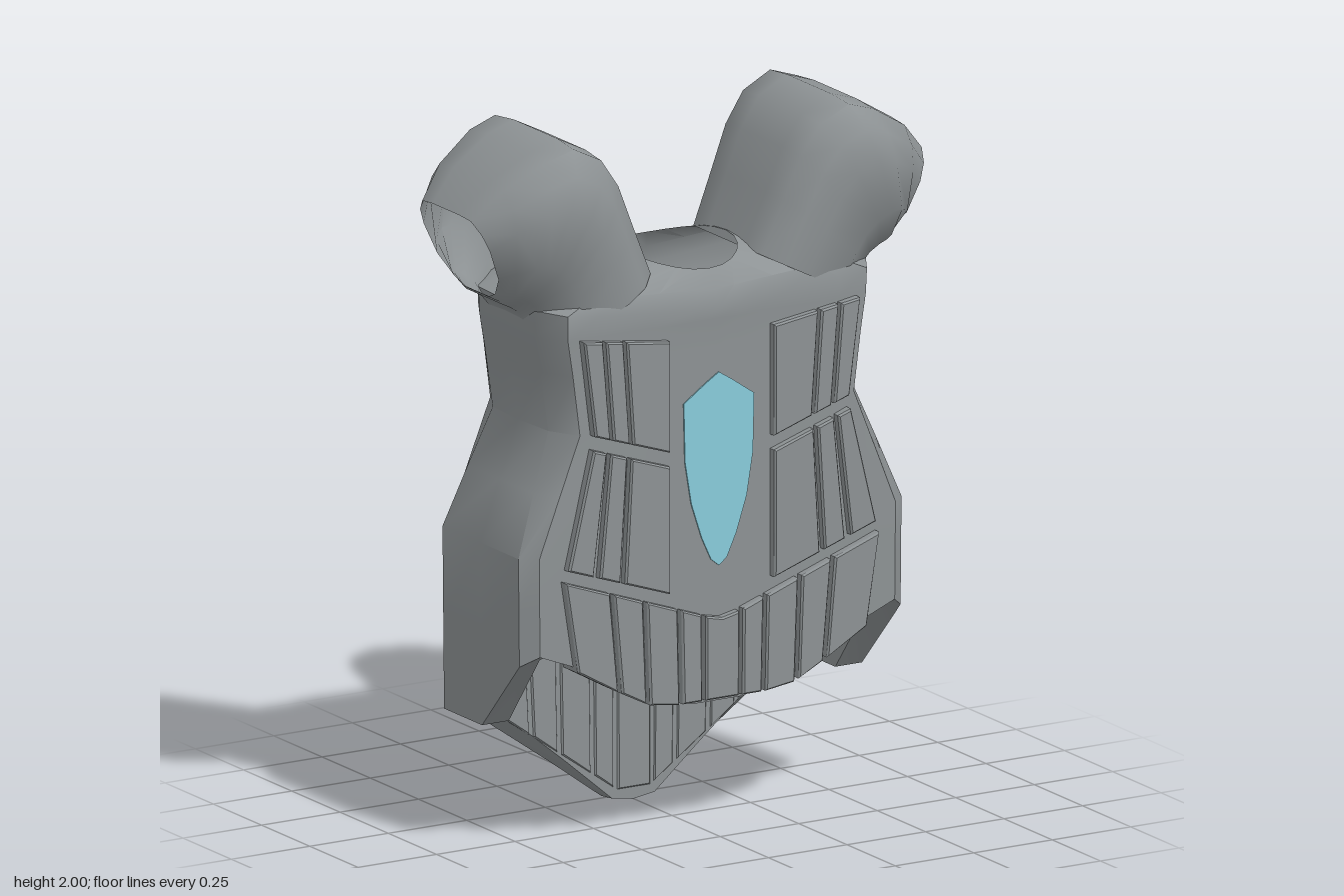
import * as THREE from 'three';
import { toCreasedNormals } from 'three/addons/utils/BufferGeometryUtils.js';

const armour = new THREE.MeshStandardMaterial({ color: 0x8d9294, side: THREE.DoubleSide });
armour.name = 'grey armour';
const gem = new THREE.MeshStandardMaterial({ color: 0x88cbda });
gem.name = 'pale blue';

// Skin a list of closed rings of [x, y, z] points, given bottom to top
function loft(rings, crease) {
  const n = rings[0].length, index = [];
  for (let j = 0; j < rings.length - 1; j++) {
    for (let i = 0; i < n; i++) {
      const k = (i + 1) % n, a = j * n + i, b = j * n + k;
      index.push(a, b, b + n, a, b + n, a + n);
    }
  }
  const g = new THREE.BufferGeometry();
  g.setAttribute('position', new THREE.Float32BufferAttribute(rings.flat(2), 3));
  g.setIndex(index);
  return toCreasedNormals(g, crease);
}

function addMesh(parent, name, geometry, material) {
  const mesh = new THREE.Mesh(geometry, material);
  mesh.name = name;
  parent.add(mesh);
  return mesh;
}

// Half cross-section from front centre round the left flank to back centre:
// [share of half-width, share of half-depth, hem height, both shares above the waist if rounder there]
const COLUMNS = [
  [0, 1, 0.385], [0.13, 1, 0.385], [0.41, 1, 0.43], [0.72, 1, 0.535],
  [0.93, 0.98, 0.585, 0.89, 0.97], [1, 0.82, 0.555, 0.985, 0.6],
  [1, 0, 0.345], [1, -0.82, 0.345, 0.985, -0.6], [0.93, -0.98, 0.335, 0.89, -0.97],
  [0.72, -1, 0.268], [0.41, -1, 0.136], [0.13, -1, 0.012], [0, -1, 0.002],
];

// Turn the half section into a full ring by mirroring
function ring(point) {
  const half = COLUMNS.map((c, i) => point(c, i));
  const other = half.slice(1, -1).reverse().map(([x, y, z]) => [-x, y, z]);
  return [...half, ...other];
}

// Half-width of the torso at a height
const WIDTHS = [[0, 0.605], [0.35, 0.605], [0.86, 0.61], [1.03, 0.55], [1.19, 0.49], [1.36, 0.515], [1.5, 0.54], [2, 0.54]];
function halfWidth(y) {
  const i = Math.max(1, WIDTHS.findIndex(w => w[0] >= y));
  const [y0, a] = WIDTHS[i - 1], [y1, b] = WIDTHS[i];
  return a + (b - a) * (y - y0) / (y1 - y0);
}

function torsoGeometry() {
  const levels = [0, 0.5, 0.86, 1.03, 1.19, 1.36, 1.46];
  const wall = (level, thinX, depth) => ring(([fx, fz, hem, ux = fx, uz = fz]) => {
    const y = level === 0 ? hem : level === 0.5 ? (hem + 0.86) / 2 : level;
    const t = THREE.MathUtils.clamp((y - 0.86) / 0.33, 0, 1);
    const x = fx + (ux - fx) * t, z = fz + (uz - fz) * t;
    return [x * (halfWidth(y) - thinX), y, z * depth];
  });
  const inner = levels.map(l => wall(l, 0.085, 0.2)).reverse();
  const outer = levels.map(l => wall(l, 0, 0.24));
  // yoke closing in to the neck opening
  const yoke = [[1.485, 0.05, 0.535, 0.243], [1.54, 0.03, 0.44, 0.228]].map(([y, rise, w, d]) =>
    ring(([fx, fz, , ux = fx, uz = fz]) => [ux * w, y + rise * fx, uz * d]));
  const neck = ring((c, i) => {
    const a = Math.PI / 2 - i * Math.PI / 12, s = Math.cos(a);
    return [0.175 * s, 1.59 + 0.035 * s * s, 0.2 * Math.sin(a) - 0.008];
  });
  return loft([...inner, ...outer, ...yoke, neck], 0.6);
}

// Shoulder sleeve: sections fanned around the armpit
// [inner x, inner y, outer x, outer y, half-depth]
const SLEEVE = [
  [0.17, 1.60, 0.50, 1.43, 0.242],
  [0.235, 1.75, 0.53, 1.50, 0.256],
  [0.285, 1.87, 0.55, 1.525, 0.266],
  [0.345, 1.955, 0.575, 1.54, 0.275],
  [0.435, 2.00, 0.595, 1.55, 0.28],
  [0.52, 1.972, 0.605, 1.56, 0.272],
  [0.64, 1.90, 0.615, 1.565, 0.225],
  [0.72, 1.815, 0.62, 1.57, 0.172],
];
// [share from inner to outer, share of half-depth]
const SECTION = [[0, 0], [0, 0.4], [0.02, 0.73], [0.16, 0.93], [0.35, 1], [0.7, 0.92], [0.93, 0.6], [1, 0.35], [1, 0]];
function sleeveGeometry(side) {
  const loop = [...SECTION, ...SECTION.slice(1, -1).reverse().map(([u, v]) => [u, -v])];
  const rings = SLEEVE.map(([ix, iy, ox, oy, d]) => {
    const r = loop.map(([u, v]) => [side * (ix + (ox - ix) * u), iy + (oy - iy) * u, v * d]);
    return side < 0 ? r.reverse() : r;
  });
  return loft(rings, 0.9);
}

// Bevelled four-cornered plate set through the torso wall
function plateGeometry(corners, depth) {
  const shape = new THREE.Shape(corners.map(([x, y]) => new THREE.Vector2(x, y)));
  return new THREE.ExtrudeGeometry(shape, {
    depth, bevelEnabled: true, bevelThickness: 0.006, bevelSize: 0.005, bevelOffset: -0.005, bevelSegments: 1,
  });
}

// Rows of plates: top and bottom edge heights by x, and columns as
// [inner top x, outer top x, inner bottom x, outer bottom x]
const chestTop = x => 1.40 + 0.135 * x, chestLow = x => 1.055 + 0.33 * x;
const ribTop = x => 1.015 + 0.33 * x, ribLow = x => 0.655 + 0.34 * x;
const bellyTop = x => 0.615 + 0.35 * x;
const frontHem = x => 0.395 + 0.6 * Math.max(0, x - 0.2) ** 1.1;
const backHem = x => 0.04 + 0.7 * Math.max(0, x - 0.06);
const BELLY = [[0.066, 0.13, 0.064, 0.125], [0.143, 0.24, 0.137, 0.23], [0.253, 0.345, 0.243, 0.32], [0.358, 0.5, 0.333, 0.46]];
const ROWS = {
  front: [
    [chestTop, chestLow, [[0.165, 0.305, 0.165, 0.285], [0.315, 0.37, 0.295, 0.347], [0.38, 0.44, 0.357, 0.405]]],
    [ribTop, ribLow, [[0.165, 0.29, 0.165, 0.31], [0.303, 0.355, 0.325, 0.39], [0.368, 0.41, 0.41, 0.49]]],
    [bellyTop, frontHem, BELLY],
  ],
  back: [
    [chestTop, chestLow, [[0.08, 0.25, 0.08, 0.235], [0.262, 0.358, 0.247, 0.333], [0.37, 0.44, 0.345, 0.405]]],
    [ribTop, ribLow, [[0.08, 0.24, 0.08, 0.26], [0.252, 0.338, 0.272, 0.38], [0.35, 0.41, 0.392, 0.49]]],
    [bellyTop, backHem, BELLY],
  ],
};

function plateSet(face) {
  const group = new THREE.Group();
  group.name = face + 'Plates';
  const start = face === 'front' ? 0.184 : 0.201;
  const place = corners => {
    addMesh(group, face + 'Plate', plateGeometry(corners, 0.259 - start), armour).position.z = start;
  };
  for (const [top, low, columns] of ROWS[face]) {
    for (const [a, b, c, d] of columns) {
      const p = [[c, low(c)], [d, low(d)], [b, top(b)], [a, top(a)]];
      place(p);
      place(p.map(([x, y]) => [-x, y]).reverse());
    }
  }
  // middle plate of the lowest row
  const hem = face === 'front' ? 0.395 : 0.035;
  place([[-0.053, hem], [0.053, hem], [0.053, 0.633], [0, 0.622], [-0.053, 0.633]]);
  if (face === 'back') group.rotation.y = Math.PI;
  return group;
}

// Pointed shield-shaped inlay on the chest
function inlayGeometry() {
  const half = [[0, 0.765], [0.025, 0.785], [0.055, 0.85], [0.088, 0.95], [0.108, 1.07], [0.112, 1.235], [0.04, 1.285], [0, 1.31]];
  const points = [...half, ...half.slice(1, -1).reverse().map(([x, y]) => [-x, y])];
  const shape = new THREE.Shape(points.map(([x, y]) => new THREE.Vector2(x, y)));
  return new THREE.ExtrudeGeometry(shape, { depth: 0.006, bevelEnabled: false });
}

export function createModel() {
  const model = new THREE.Group();
  model.name = 'chestArmour';
  addMesh(model, 'torsoShell', torsoGeometry(), armour);
  addMesh(model, 'leftShoulder', sleeveGeometry(1), armour);
  addMesh(model, 'rightShoulder', sleeveGeometry(-1), armour);
  model.add(plateSet('front'), plateSet('back'));
  addMesh(model, 'chestInlay', inlayGeometry(), gem).position.z = 0.238;
  return model;
}
